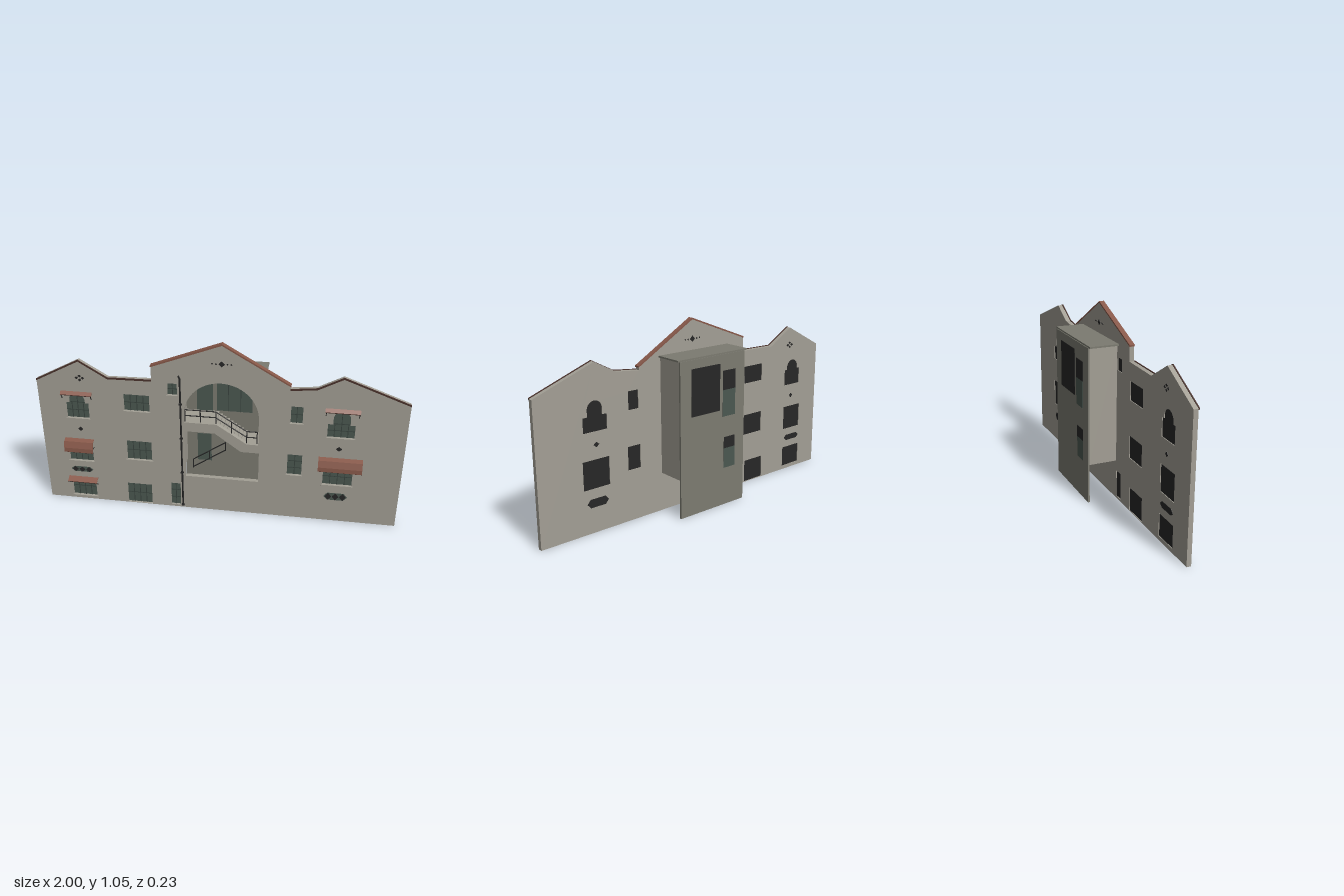
import * as THREE from 'three';

const mat = (name, color, double) => {
  const m = new THREE.MeshStandardMaterial({ color });
  m.name = name;
  if (double) m.side = THREE.DoubleSide;
  return m;
};

export function createModel() {
  const stone = mat('stone', 0xa39f95), shade = mat('dark plaster', 0x7c7b71);
  const glass = mat('glass', 0x4b5851), bar = mat('window bar', 0x39433e);
  const dark = mat('dark metal', 0x272727), tile = mat('terracotta', 0x88594a, true);
  const trim = mat('dark terracotta', 0x4a322c);
  const model = new THREE.Group();
  model.name = 'facade building';

  const add = (name, geo, m) => {
    const mesh = new THREE.Mesh(geo, m);
    mesh.name = name;
    model.add(mesh);
    return mesh;
  };
  // box given by its limits
  const box = (name, x0, x1, y0, y1, z0, z1, m) =>
    add(name, new THREE.BoxGeometry(x1 - x0, y1 - y0, z1 - z0), m)
      .position.set((x0 + x1) / 2, (y0 + y1) / 2, (z0 + z1) / 2);
  const poly = pts => new THREE.Shape(pts.map(p => new THREE.Vector2(...p)));
  const slab = (name, shape, z0, z1, m) => {
    const g = new THREE.ExtrudeGeometry(shape, { depth: z1 - z0, bevelEnabled: false, curveSegments: 24 });
    g.translate(0, 0, z0);
    return add(name, g, m);
  };
  // strip of thickness t below a polyline
  const strip = (name, pts, t, z0, z1, m) =>
    slab(name, poly([...pts, ...pts.slice().reverse().map(([x, y]) => [x, y - t])]), z0, z1, m);
  // round rod between two points
  const rod = (name, a, b, r, m) => {
    const A = new THREE.Vector3(...a), B = new THREE.Vector3(...b), d = B.clone().sub(A);
    const mesh = add(name, new THREE.CylinderGeometry(r, r, d.length(), 6), m);
    mesh.position.copy(A).add(B).multiplyScalar(0.5);
    mesh.quaternion.setFromUnitVectors(new THREE.Vector3(0, 1, 0), d.normalize());
  };
  const rect = (x0, x1, y0, y1) => poly([[x0, y0], [x1, y0], [x1, y1], [x0, y1]]);
  // rectangle topped by a narrower arch
  const archWindow = (x0, x1, y0, y1, top) => {
    const s = new THREE.Shape(), c = (x0 + x1) / 2, r = 0.045;
    s.moveTo(x0, y0).lineTo(x1, y0).lineTo(x1, y1).lineTo(c + r, y1).lineTo(c + r, top - r);
    s.absarc(c, top - r, r, 0, Math.PI, false);
    s.lineTo(c - r, y1).lineTo(x0, y1).lineTo(x0, y0);
    return s;
  };

  // facade outline
  const wall = poly([[-1, 0], [1, 0], [1, 0.775], [0.65, 0.905], [0.52, 0.835], [0.38, 0.82], [0.38, 0.835],
    [0.02, 1.045], [-0.36, 0.895], [-0.36, 0.817], [-0.6, 0.812], [-0.755, 0.905], [-1, 0.775]]);

  // windows: x0, x1, y0, y1, columns, rows, arch top
  const windows = [
    [-0.848, -0.72, 0.548, 0.645, 4, 2, 0.703], [-0.86, -0.72, 0.265, 0.41, 4, 3], [-0.862, -0.72, 0.022, 0.145, 4, 2],
    [-0.52, -0.377, 0.618, 0.72, 4, 2], [-0.52, -0.377, 0.302, 0.425, 4, 2], [-0.532, -0.388, 0.003, 0.136, 4, 2],
    [-0.275, -0.222, 0.735, 0.805, 2, 2], [-0.275, -0.218, 0.013, 0.163, 2, 3],
    [0.388, 0.452, 0.618, 0.72, 2, 2], [0.382, 0.462, 0.288, 0.42, 2, 3],
    [0.586, 0.73, 0.548, 0.63, 4, 2, 0.71], [0.58, 0.74, 0.243, 0.4, 4, 3]];
  for (const [x0, x1, y0, y1, cols, rows, top] of windows) {
    const shape = top ? archWindow(x0, x1, y0, y1, top) : rect(x0, x1, y0, y1);
    wall.holes.push(new THREE.Path(shape.getPoints(16)));
    slab('windowGlass', shape, 0.061, 0.064, glass);
    slab('windowBack', shape, 0.054, 0.061, dark);
    for (let i = 1; i < cols; i++) {
      const x = x0 + (x1 - x0) * i / cols;
      const mid = top && i > 1 && i < cols - 1;
      box('windowBar', x - 0.002, x + 0.002, y0, mid ? top - 0.003 : y1, 0.064, 0.067, bar);
    }
    for (let j = 1; j < rows + (top ? 1 : 0); j++) {
      const y = y0 + (y1 - y0) * j / rows, inset = j === rows ? 0.025 : 0;
      box('windowBar', x0 + inset, x1 - inset, y - 0.002, y + 0.002, 0.064, 0.067, bar);
    }
    if (y0 > 0.02) box('windowSill', x0 - 0.006, x1 + 0.006, y0 - 0.008, y0, 0.07, 0.081, stone);
  }

  // arched loggia above the stair and the opening below it
  const arch = new THREE.Path();
  arch.moveTo(-0.187, 0.572).lineTo(-0.01, 0.572).lineTo(0.157, 0.462).lineTo(0.22, 0.462).lineTo(0.22, 0.622);
  arch.absarc(0.0165, 0.622, 0.2035, 0, Math.PI, false);
  wall.holes.push(arch);
  wall.holes.push(poly([[-0.187, 0.22], [0.225, 0.22], [0.225, 0.41], [0.125, 0.41], [-0.02, 0.516], [-0.187, 0.516]]));
  slab('facadeWall', wall, 0.05, 0.075, stone);

  // roof edges
  strip('middleRoofEdge', [[-0.363, 0.903], [0.02, 1.052], [0.383, 0.842]], 0.009, 0.049, 0.077, tile);
  strip('leftRoofTrim', [[0.38, 0.823], [0.52, 0.839], [0.65, 0.909], [1, 0.779]], 0.009, 0.075, 0.081, trim);
  strip('rightRoofTrim', [[-1, 0.779], [-0.755, 0.909], [-0.6, 0.816], [-0.36, 0.82]], 0.009, 0.075, 0.081, trim);

  // stairwell block behind the arch
  box('rearWall', -0.215, 0.24, 0, 0.868, -0.115, -0.105, shade);
  for (const x of [-0.215, 0.232]) box('stairwellSide', x, x + 0.008, 0.22, 0.868, -0.105, 0.05, stone);
  box('stairwellRoof', -0.235, 0.25, 0.868, 0.877, -0.111, 0.05, shade);

  // rear wall window and doors, painted on both sides
  const rearPlate = (x0, x1, y0, y1, split) => {
    box('rearGlass', x0, x1, y0, y1, -0.105, -0.103, glass);
    box('rearPaneBack', x0, x1, split, y1, -0.1165, -0.115, dark);
    if (split > y0) box('rearDoorPanel', x0, x1, y0, split, -0.1165, -0.115, glass);
  };
  rearPlate(-0.035, 0.165, 0.56, 0.82, 0.56);
  rearPlate(-0.147, -0.056, 0.52, 0.778, 0.67);
  rearPlate(-0.147, -0.066, 0.22, 0.4, 0.335);
  for (const x of [0.03, 0.1]) box('rearWindowBar', x - 0.002, x + 0.002, 0.56, 0.82, -0.103, -0.1, bar);

  // landing and steps
  box('landing', -0.207, -0.02, 0.525, 0.555, -0.105, 0.05, stone);
  for (let i = 0; i < 8; i++) {
    const x = -0.02 + i * 0.02, y = 0.541 - i * 0.0137;
    box('step', x, x + 0.02, y - 0.03, y, -0.105, 0.05, stone);
  }
  box('lowerLanding', 0.14, 0.232, 0.415, 0.436, -0.105, 0.05, stone);

  // railings: polyline of the top rail, drop to the second rail and to the post feet
  const railing = (pts, drop, foot, z) => {
    for (let i = 0; i < pts.length; i++) {
      const [x, y] = pts[i];
      rod('railPost', [x, y, z], [x, y - foot, z], 0.003, dark);
      if (i === 0) continue;
      const [px, py] = pts[i - 1];
      for (const d of [0, drop]) rod('rail', [px, py - d, z], [x, y - d, z], 0.003, dark);
    }
  };
  railing([[-0.185, 0.645], [-0.1, 0.645], [-0.015, 0.645], [0.07, 0.59], [0.155, 0.537], [0.212, 0.537]], 0.036, 0.074, 0.062);
  railing([[-0.15, 0.307], [-0.057, 0.372], [0.035, 0.436]], 0.05, 0.055, 0.03);

  // drainpipe with brackets
  const pipe = new THREE.CatmullRomCurve3([[0.08, 0.015], [0.08, 0.3], [0.08, 0.6], [0.08, 0.835], [0.082, 0.855], [0.086, 0.862]]
    .map(([z, y], i) => new THREE.Vector3(i > 4 ? -0.212 : -0.205, y, z)));
  add('drainpipe', new THREE.TubeGeometry(pipe, 32, 0.005, 8), dark);
  for (const y of [0.02, 0.245, 0.47, 0.685]) box('pipeBracket', -0.213, -0.197, y - 0.004, y + 0.004, 0.074, 0.086, dark);

  // awnings: sheet following a profile of [z, y] points
  const sheet = (name, x0, x1, pts) => {
    const t = 0.003, back = pts.slice().reverse().map(([z, y]) => [z - t, y - t]);
    const g = new THREE.ExtrudeGeometry(poly([...pts, ...back].map(([z, y]) => [-z, y])), { depth: x1 - x0, bevelEnabled: false });
    g.rotateY(Math.PI / 2).translate(x0, 0, 0);
    add(name, g, tile);
  };
  for (const [x0, x1, y] of [[-0.873, -0.707, 0.345], [0.55, 0.787, 0.353]]) {
    sheet('awning', x0, x1, [[0.077, y + 0.07], [0.104, y + 0.062], [0.116, y + 0.025], [0.117, y]]);
    for (const x of [x0 + 0.004, x1 - 0.004])
      rod('awningArm', [x, y + 0.015, 0.075], [x, y + 0.02, 0.113], 0.002, dark);
  }
  for (const [x0, x1, y, z] of [[-0.87, -0.695, 0.7, 0.093], [0.567, 0.75, 0.71, 0.093], [-0.877, -0.705, 0.138, 0.112]]) {
    sheet('windowCanopy', x0, x1, [[0.077, y + 0.016], [z, y]]);
    box('canopyEdge', x0, x1, y - 0.004, y, z - 0.004, z, trim);
    for (const x of [x0 + 0.005, x1 - 0.005])
      rod('canopyBracket', [x, y - 0.03, 0.076], [x, y - 0.002, z - 0.003], 0.0025, dark);
  }

  // small diamond ornaments shown on both faces of the wall
  const diamond = (x, y, w, h) => {
    const s = poly([[x - w, y], [x, y - h], [x + w, y], [x, y + h]]);
    slab('diamondOrnament', s, 0.075, 0.077, dark);
    slab('diamondOrnamentBack', s, 0.048, 0.05, dark);
  };
  diamond(-0.778, 0.479, 0.014, 0.014);
  diamond(0.655, 0.479, 0.017, 0.014);
  diamond(0.019, 0.938, 0.017, 0.017);
  for (const d of [-0.05, -0.03, 0.03, 0.05]) diamond(0.019 + d, 0.938, 0.005, 0.005);
  for (const [dx, dy] of [[0, 1], [0, -1], [1.2, 0], [-1.2, 0]]) diamond(-0.755 + dx * 0.014, 0.8 + dy * 0.012, 0.01, 0.008);

  // long lattice vents
  for (const [x, y, h] of [[-0.794, 0.206, 0.017], [0.658, 0.166, 0.023]]) {
    const s = poly([[x - 0.065, y], [x - 0.045, y - h], [x + 0.045, y - h], [x + 0.065, y], [x + 0.045, y + h], [x - 0.045, y + h]]);
    slab('latticeVent', s, 0.075, 0.077, glass);
    slab('latticeVentBack', s, 0.048, 0.05, dark);
    for (const d of [-0.04, 0, 0.04])
      slab('latticeDiamond', poly([[x + d - 0.018, y], [x + d, y - h], [x + d + 0.018, y], [x + d, y + h]]), 0.077, 0.079, dark);
  }
  return model;
}
